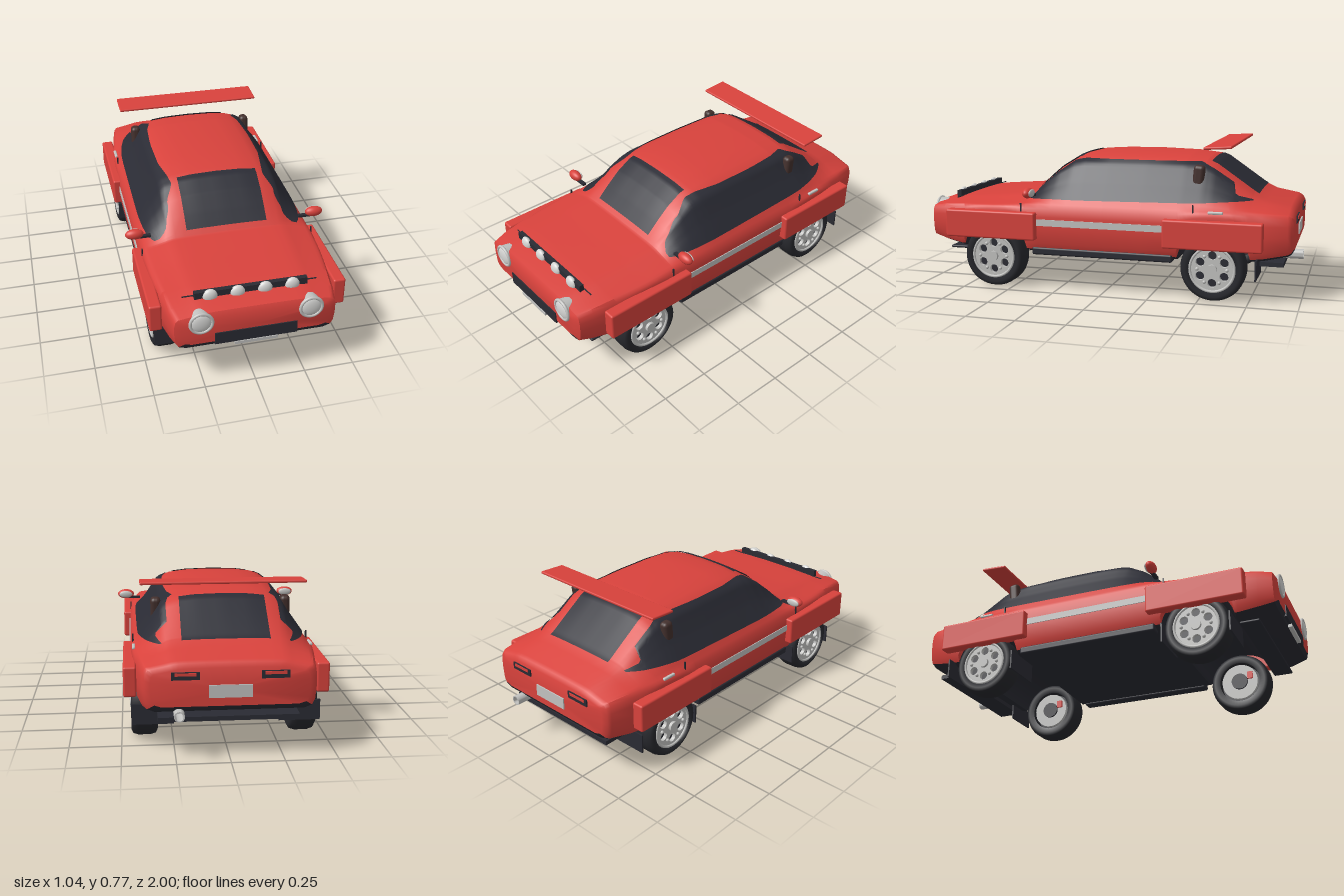
import * as THREE from 'three';
import { toCreasedNormals } from 'three/addons/utils/BufferGeometryUtils.js';
import { RoundedBoxGeometry } from 'three/addons/geometries/RoundedBoxGeometry.js';

const mat = (name, color, side = THREE.FrontSide) =>
  Object.assign(new THREE.MeshStandardMaterial({ color, side }), { name });

export function createModel() {
  const red = mat('red paint', 0xd8423c);
  const dark = mat('dark trim', 0x2a2b33);
  const glass = mat('dark glass', 0x2b2c35, THREE.DoubleSide);
  const rubber = mat('tyre rubber', 0x27282d);
  const silver = mat('silver metal', 0xc2c2c0);
  const lens = mat('lamp lens', 0xd6d6d4);
  const brown = mat('brown scoop', 0x43302d);

  const car = new THREE.Group();
  car.name = 'car';
  const add = (name, geo, material, x = 0, y = 0, z = 0, parent = car) => {
    const m = new THREE.Mesh(geo, material);
    m.name = name;
    m.position.set(x, y, z);
    parent.add(m);
    return m;
  };
  const box = (name, material, w, h, d, x, y, z, parent) =>
    add(name, new THREE.BoxGeometry(w, h, d), material, x, y, z, parent);
  const rbox = (name, material, w, h, d, x, y, z, r) =>
    add(name, new RoundedBoxGeometry(w, h, d, 3, r), material, x, y, z);

  // Linear lookup in a table whose first column (z) falls
  const lookup = (table, z) => {
    let i = 0;
    while (i < table.length - 2 && z < table[i + 1][0]) i++;
    const [a, b] = [table[i], table[i + 1]];
    const t = THREE.MathUtils.clamp((z - a[0]) / (b[0] - a[0]), 0, 1);
    return a.map((v, k) => v + (b[k] - v) * t);
  };

  // Body stations: z, half width, bottom, shoulder, top
  const stations = [
    [0.985, 0.36, 0.27, 0.395, 0.415], [0.972, 0.39, 0.245, 0.415, 0.437], [0.9, 0.407, 0.225, 0.428, 0.452],
    [0.8, 0.422, 0.205, 0.435, 0.465], [0.6, 0.44, 0.2, 0.442, 0.48], [0.43, 0.45, 0.2, 0.452, 0.497],
    [0.35, 0.45, 0.2, 0.455, 0.577], [0.28, 0.45, 0.2, 0.455, 0.64], [0.2, 0.45, 0.2, 0.455, 0.69],
    [0.14, 0.45, 0.2, 0.455, 0.706], [0, 0.45, 0.2, 0.455, 0.715], [-0.2, 0.45, 0.2, 0.455, 0.717],
    [-0.4, 0.45, 0.2, 0.455, 0.711], [-0.5, 0.448, 0.2, 0.455, 0.7], [-0.55, 0.446, 0.2, 0.455, 0.678],
    [-0.65, 0.44, 0.2, 0.455, 0.605], [-0.75, 0.428, 0.205, 0.452, 0.532], [-0.81, 0.42, 0.21, 0.45, 0.5],
    [-0.93, 0.4, 0.235, 0.445, 0.476], [-0.948, 0.39, 0.245, 0.437, 0.467], [-0.96, 0.365, 0.265, 0.42, 0.445],
  ];
  const lower = [[0, 0], [0.86, 0], [0.95, 0.07], [0.985, 0.2], [1, 0.5], [1, 0.75], [0.985, 0.92]];
  const upper = [[0.955, 0], [0.92, 0.1], [0.86, 0.25], [0.78, 0.45], [0.71, 0.65], [0.66, 0.8],
    [0.6, 0.88], [0.5, 0.94], [0.3, 0.985], [0, 1]];
  const axles = [0.6, -0.57], wheelY = 0.17, arch = 0.185;
  const halfSection = (z) => {
    const [, w, b, s, t] = lookup(stations, z);
    let bottom = b;
    for (const a of axles) {
      const d = arch * arch - (z - a) ** 2;
      if (d > 0) bottom = Math.max(bottom, wheelY + Math.sqrt(d));
    }
    return [...lower.map(([x, f]) => [x * w, bottom + f * (s - bottom)]),
      ...upper.map(([x, f]) => [x * w, s + f * (t - s)])];
  };

  // Lofted shell with wheel tunnels; painted top and dark underside
  const zs = stations.map((s) => s[0]);
  for (const a of axles) for (let k = 0; k <= 16; k++) zs.push(a + arch * Math.cos((k / 16) * Math.PI));
  zs.sort((a, b) => b - a);
  const pos = [], paintIndex = [], underIndex = [];
  let ring = 0;
  for (const z of zs) {
    const half = halfSection(z);
    const full = [...half, ...half.slice(1, -1).reverse().map(([x, y]) => [-x, y])];
    ring = full.length;
    full.forEach(([x, y]) => pos.push(x, y, z));
  }
  for (let j = 0; j < zs.length - 1; j++) for (let i = 0; i < ring; i++) {
    const n = (i + 1) % ring, a = j * ring + i, b = j * ring + n, c = a + ring, d = b + ring;
    (i < 2 || i >= ring - 2 ? underIndex : paintIndex).push(a, c, b, b, c, d);
  }
  const last = (zs.length - 1) * ring, centre = pos.length / 3;
  pos.push(0, 0.34, zs[0], 0, 0.34, zs[zs.length - 1]);
  for (let i = 0; i < ring; i++) {
    const n = (i + 1) % ring;
    paintIndex.push(centre, i, n, centre + 1, last + n, last + i);
  }
  const meshGeo = (p, index) => {
    const g = new THREE.BufferGeometry();
    g.setAttribute('position', new THREE.Float32BufferAttribute(p, 3));
    g.setIndex(index);
    return toCreasedNormals(g, 0.75);
  };
  add('bodyShell', meshGeo(pos, paintIndex), red);
  add('underbody', meshGeo(pos, underIndex), dark);

  // Glass patches that follow the shell
  const patch = (name, nu, nv, fn) => {
    const p = [], index = [];
    for (let i = 0; i <= nu; i++) for (let j = 0; j <= nv; j++) {
      p.push(...fn(i / nu, j / nv));
      if (i < nu && j < nv) {
        const a = i * (nv + 1) + j, c = a + nv + 1;
        index.push(a, c, a + 1, a + 1, c, c + 1);
      }
    }
    add(name, meshGeo(p, index), glass);
  };
  const along = (z, value, from, to) => { // from: known axis, to: wanted axis
    const h = halfSection(z).slice(lower.length);
    for (let i = 0; i < h.length - 1; i++) {
      const t = (value - h[i][from]) / (h[i + 1][from] - h[i][from]);
      if (t >= 0 && t <= 1) return h[i][to] + (h[i + 1][to] - h[i][to]) * t;
    }
    return h[0][to];
  };
  const windowEdges = [[0.41, 0.475, 0.485], [0.38, 0.477, 0.525], [0.3, 0.48, 0.6], [0.2, 0.48, 0.672],
    [0.14, 0.48, 0.684], [-0.48, 0.49, 0.684], [-0.55, 0.495, 0.65], [-0.65, 0.5, 0.585],
    [-0.665, 0.5, 0.53], [-0.75, 0.503, 0.508]];
  for (const s of [1, -1]) patch('sideWindow', 80, 16, (u, v) => {
    const z = 0.41 - 1.16 * u, [, lo, hi] = lookup(windowEdges, z), y = lo + (hi - lo) * v;
    return [s * (along(z, y, 1, 0) + 0.006), y + 0.002, z];
  });
  for (const [name, z0, z1, lift] of [['windscreen', 0.41, 0.17, 0.003], ['rearWindow', -0.52, -0.765, -0.003]])
    patch(name, 24, 12, (u, v) => {
      const z = z0 + (z1 - z0) * u, x = (v - 0.5) * 0.42;
      return [x, along(z, Math.abs(x), 0, 1) + 0.006, z + lift];
    });

  // Front: grille, plate, lip, lamp bar and lamps
  box('grille', dark, 0.4, 0.065, 0.02, 0, 0.288, 0.98);
  box('frontPlate', silver, 0.21, 0.016, 0.02, 0, 0.248, 0.984);
  rbox('frontLip', dark, 0.71, 0.014, 0.1, 0, 0.187, 0.84, 0.006);
  box('bonnetGap', dark, 0.66, 0.004, 0.005, 0, 0.455, 0.857);
  box('lampBar', dark, 0.55, 0.045, 0.024, 0, 0.463, 0.872);
  const dome = new THREE.SphereGeometry(0.036, 24, 16);
  for (const x of [-0.2, -0.067, 0.067, 0.2]) add('spotLamp', dome, lens, x, 0.46, 0.882).scale.z = 0.55;
  const rimGeo = new THREE.TorusGeometry(0.053, 0.008, 12, 40);
  const canGeo = new THREE.CylinderGeometry(0.056, 0.05, 0.05, 36).rotateX(Math.PI / 2);

  for (const s of [1, -1]) {
    add('headlampBody', canGeo, silver, s * 0.265, 0.39, 0.962);
    add('headlampRing', rimGeo, silver, s * 0.265, 0.39, 0.987);
    add('headlampLens', new THREE.SphereGeometry(0.05, 28, 16), lens, s * 0.265, 0.39, 0.984).scale.z = 0.3;
    // Wheel flares, sill and side trim
    rbox('frontFlare', red, 0.062, 0.145, 0.5, s * 0.455, 0.343, 0.603, 0.01);
    rbox('rearFlare', red, 0.062, 0.145, 0.5, s * 0.455, 0.343, -0.57, 0.01);
    rbox('sill', dark, 0.06, 0.04, 0.75, s * 0.408, 0.208, 0.01, 0.01);
    box('sideStripe', silver, 0.008, 0.034, 0.68, s * 0.45, 0.362, 0.015);
    box('doorGap', dark, 0.006, 0.05, 0.008, s * 0.445, 0.435, 0.44);
    box('doorGap', dark, 0.008, 0.07, 0.006, s * 0.436, 0.452, -0.468);
    rbox('doorHandle', silver, 0.016, 0.014, 0.075, s * 0.434, 0.452, -0.58, 0.005);
    // Mirror
    box('mirrorArm', dark, 0.08, 0.012, 0.02, s * 0.43, 0.5, 0.385);
    add('mirrorShell', new THREE.SphereGeometry(1, 24, 16), red, s * 0.473, 0.519, 0.387).scale.set(0.047, 0.027, 0.026);
    add('mirrorGlass', new THREE.SphereGeometry(1, 24, 12), silver, s * 0.473, 0.519, 0.367).scale.set(0.038, 0.02, 0.01);
    // Air scoop on the rear pillar
    rbox('airScoop', brown, 0.05, 0.125, 0.058, s * 0.322, 0.612, -0.475, 0.02).rotation.x = -0.1;
    box('tailLamp', dark, 0.13, 0.036, 0.02, s * 0.205, 0.41, -0.957);
    box('tailLampLens', red, 0.1, 0.014, 0.008, s * 0.205, 0.418, -0.966);
  }

  // Rear: wing, plate, lip and exhaust
  rbox('rearWing', red, 0.8, 0.014, 0.142, 0, 0.769, -0.58, 0.006).rotation.x = 0.06;
  box('rearPlate', silver, 0.2, 0.06, 0.012, 0, 0.335, -0.96);
  box('rearLip', dark, 0.66, 0.022, 0.12, 0, 0.187, -0.85);
  const pipe = [[0.02, -0.06], [0.025, -0.055], [0.025, 0.06], [0.019, 0.06], [0.019, -0.04], [0, -0.04]]
    .map(([x, y]) => new THREE.Vector2(x, y));
  add('exhaust', toCreasedNormals(new THREE.LatheGeometry(pipe, 24), 0.6), silver, 0.235, 0.23, -0.94).rotation.x = -Math.PI / 2;

  // Mud flaps
  for (const [x, z] of [[-0.34, 0.768], [-0.34, 0.425], [-0.34, -0.405], [-0.35, -0.785], [0.35, -0.785]])
    box('mudFlap', dark, x === -0.34 ? 0.225 : 0.2, 0.1, 0.008, x, x === -0.34 ? 0.162 : 0.175, z);

  // Wheels: built facing +z, turned outward
  const tyre = new THREE.LatheGeometry([[0.112, -0.055], [0.14, -0.064], [0.157, -0.055], [0.165, -0.03],
    [0.165, 0.03], [0.157, 0.055], [0.14, 0.064], [0.112, 0.055], [0.112, -0.055]]
    .map(([x, y]) => new THREE.Vector2(x, y)), 48).rotateX(Math.PI / 2);
  const face = new THREE.Shape().absarc(0, 0, 0.115, 0, Math.PI * 2);
  for (let k = 0; k < 6; k++) {
    const a = (k / 6) * Math.PI * 2 + Math.PI / 6;
    face.holes.push(new THREE.Path().absarc(0.07 * Math.cos(a), 0.07 * Math.sin(a), 0.022, 0, Math.PI * 2, true));
  }
  const rim = new THREE.ExtrudeGeometry(face, { depth: 0.02, bevelEnabled: false, curveSegments: 24 });
  const disc = (r, d) => new THREE.CylinderGeometry(r, r, d, 32).rotateX(Math.PI / 2);
  for (const z of axles) for (const s of [1, -1]) {
    const wheel = new THREE.Group();
    wheel.name = (z > 0 ? 'front' : 'rear') + (s > 0 ? 'Left' : 'Right') + 'Wheel';
    wheel.position.set(s * 0.388, wheelY, z);
    wheel.rotation.y = (s * Math.PI) / 2;
    car.add(wheel);
    add('tyre', tyre, rubber, 0, 0, 0, wheel);
    add('rimFace', rim, silver, 0, 0, 0.035, wheel);
    add('rimLip', new THREE.TorusGeometry(0.112, 0.007, 10, 48), silver, 0, 0, 0.056, wheel);
    add('rimBack', disc(0.112, 0.03), dark, 0, 0, 0.012, wheel);
    add('brakeDisc', disc(0.1, 0.02), silver, 0, 0, -0.045, wheel);
    add('innerHub', disc(0.045, 0.03), dark, 0, 0, -0.05, wheel);
    box('caliper', red, 0.03, 0.04, 0.03, -0.06, 0.03, -0.05, wheel);
    add('hubCap', disc(0.026, 0.02), silver, 0, 0, 0.06, wheel);
    for (let k = 0; k < 6; k++) {
      const a = (k / 6) * Math.PI * 2;
      add('rimBolt', new THREE.SphereGeometry(0.009, 10, 8), silver, 0.075 * Math.cos(a), 0.075 * Math.sin(a), 0.058, wheel);
    }
  }
  return car;
}
